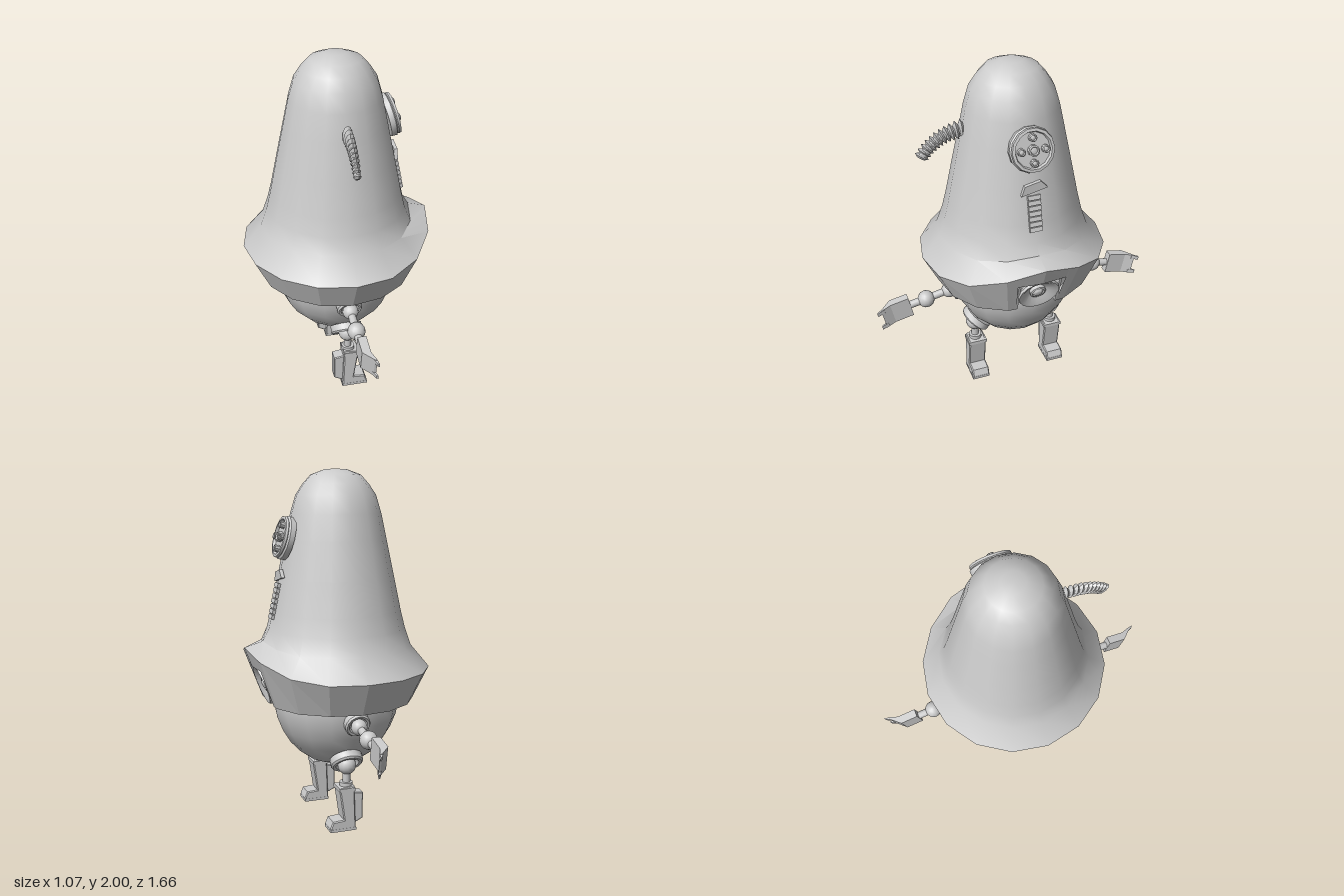
import * as THREE from 'three';
import { toCreasedNormals } from 'three/addons/utils/BufferGeometryUtils.js';

const grey = new THREE.MeshStandardMaterial({ color: 0xcccccc, side: THREE.DoubleSide });
const V = (x, y, z) => new THREE.Vector3(x, y, z);
const UP = V(0, 1, 0);

function add(parent, name, geo, pos = [0, 0, 0], axis = null) {
  const m = new THREE.Mesh(geo, grey);
  m.name = name;
  m.position.set(...pos);
  if (axis) m.quaternion.setFromUnitVectors(UP, axis.clone().normalize());
  parent.add(m);
  return m;
}

function lathe(points, sides, crease = 0.6) {
  const g = new THREE.LatheGeometry(points.map(p => new THREE.Vector2(...p)), sides);
  return toCreasedNormals(g, crease);
}

function rod(parent, name, a, b, r) {
  const d = b.clone().sub(a);
  add(parent, name, new THREE.CylinderGeometry(r, r, d.length(), 10), a.clone().add(b).multiplyScalar(0.5).toArray(), d);
}

function plate(points, depth, bevel = 0.005) {
  const shape = new THREE.Shape(points.map(p => new THREE.Vector2(...p)));
  const g = new THREE.ExtrudeGeometry(shape, { depth, bevelEnabled: bevel > 0, bevelSize: bevel, bevelThickness: bevel, bevelOffset: -bevel, bevelSegments: 1 });
  return g.translate(0, 0, -depth / 2);
}

// Brim corners: the edge rises to a peak at +x
const peak = k => Math.min(k, 16 - k);
function brimTop(k) {
  const a = k * Math.PI / 8, r = 0.535, y = [1.03, 0.98, 0.92][peak(k)] ?? 0.895;
  return V(r * Math.cos(a), y, r * Math.sin(a));
}
function brimBottom(k) {
  const a = k * Math.PI / 8, r = [0.41, 0.43][peak(k)] ?? 0.445;
  return V(r * Math.cos(a), 0.71, r * Math.sin(a));
}

// Tall dome, with its lowest rows lifted towards the peak
function domeGeometry() {
  const pts = [[0.535, 0.895], [0.43, 1.02], [0.395, 1.12], [0.37, 1.22], [0.33, 1.41], [0.285, 1.62], [0.255, 1.76],
    [0.225, 1.86], [0.185, 1.92], [0.14, 1.97], [0.06, 2], [0, 2]];
  const g = new THREE.LatheGeometry(pts.map(p => new THREE.Vector2(...p)), 16);
  const p = g.attributes.position, n = pts.length;
  for (let i = 0; i < p.count; i++) {
    const k = ((4 - Math.floor(i / n)) % 16 + 16) % 16, row = i % n;
    if (row === 0) p.setXYZ(i, ...brimTop(k).toArray());
    if (row === 1 && peak(k) < 2) p.setY(i, [1.06, 1.04][peak(k)]);
  }
  return toCreasedNormals(g, 0.6);
}

// Outer brim band and its inner lip, notched at +x for the lamp
function brimGeometry() {
  const out = [];
  const quad = (a, b, c, d) => [a, c, b, b, c, d].forEach(v => out.push(v.x, v.y, v.z));
  const strip = (t0, b0, t1, b1, lip) => {
    quad(t0, b0, t1, b1);
    if (!lip) return;
    const inner = v => V(v.x * 0.83, 0.73, v.z * 0.83);
    quad(b0, inner(b0), b1, inner(b1));
  };
  const t = 0.71;
  for (let k = 0; k < 16; k++) {
    const T0 = brimTop(k), T1 = brimTop((k + 1) % 16), B0 = brimBottom(k), B1 = brimBottom((k + 1) % 16);
    if (k !== 0 && k !== 15) { strip(T0, B0, T1, B1, true); continue; }
    const f = k === 0 ? t : 1 - t;
    const Tm = T0.clone().lerp(T1, f), Bm = B0.clone().lerp(B1, f);
    const raise = (top, bot) => bot.clone().lerp(top, (0.92 - bot.y) / (top.y - bot.y));
    if (k === 0) {
      strip(T0, raise(T0, B0), Tm, raise(Tm, Bm), false);
      strip(Tm, Bm, T1, B1, true);
    } else {
      strip(T0, B0, Tm, Bm, true);
      strip(Tm, raise(Tm, Bm), T1, raise(T1, B1), false);
    }
  }
  const g = new THREE.BufferGeometry();
  g.setAttribute('position', new THREE.Float32BufferAttribute(out, 3));
  g.computeVertexNormals();
  return g;
}

function addLamp(root) {
  const lamp = new THREE.Group();
  lamp.name = 'lamp';
  root.add(lamp);
  for (const s of [1, -1]) {
    add(lamp, 'lampSidePlate', plate([[0.33, 0.71], [0.4, 0.71], [0.465, 0.92], [0.33, 0.92]], 0.015, 0), [0, 0, s * 0.118]);
  }
  add(lamp, 'lampHousingTop', new THREE.BoxGeometry(0.14, 0.015, 0.25), [0.4, 0.92, 0]);
  const bowl = lathe([[0, -0.04], [0.08, -0.03], [0.11, 0], [0.12, 0.015], [0.115, 0.028], [0.1, 0.025], [0.045, -0.008],
    [0.045, 0.012], [0.035, 0.016], [0.03, 0.01], [0.02, 0.02], [0, 0.024]], 16);
  add(lamp, 'lampBowl', bowl, [0.415, 0.82, 0], V(0.94, -0.34, 0));
}

function addEye(root) {
  const eye = new THREE.Group();
  eye.name = 'eye';
  eye.position.set(0.302, 1.63, 0);
  eye.quaternion.setFromUnitVectors(UP, V(0.96, 0.25, 0).normalize());
  root.add(eye);
  add(eye, 'eyeRim', lathe([[0, -0.03], [0.12, -0.03], [0.123, 0], [0.112, 0.008], [0.118, 0.013], [0.115, 0.026],
    [0.1, 0.028], [0.094, 0.012], [0, 0.012]], 14));
  const lens = r => lathe([[r, 0], [r, 0.026], [r * 0.75, 0.03], [r * 0.6, 0.022], [0, 0.026]], 10);
  add(eye, 'centreLens', lens(0.03), [0, 0.01, 0]);
  for (let i = 0; i < 4; i++) {
    const a = i * Math.PI / 2;
    add(eye, 'outerLens', lens(0.021), [0.066 * Math.cos(a), 0.01, 0.066 * Math.sin(a)]);
  }
}

// Small hood and ribbed strip under the eye
function addVent(root) {
  const vent = new THREE.Group();
  vent.name = 'vent';
  root.add(vent);
  const hood = add(vent, 'ventHood', plate([[-0.075, -0.025], [0.075, -0.025], [0.045, 0.025], [-0.045, 0.025]], 0.02, 0), [0.329, 1.425, 0]);
  hood.rotation.set(0, Math.PI / 2, 0.22);
  for (let i = 0; i < 7; i++) {
    const y = 1.37 - i * 0.029;
    const rib = add(vent, 'ventRib', new THREE.BoxGeometry(0.02, 0.024, 0.07), [0.33 + (1.41 - y) * 0.21, y, 0]);
    rib.rotation.z = 0.3;
  }
}

// Curved ribbed trunk on the +z side
function addTrunk(root) {
  const trunk = new THREE.Group();
  trunk.name = 'trunk';
  root.add(trunk);
  const at = t => {
    const a = THREE.MathUtils.lerp(Math.PI / 2, 0.72, t), r = 0.315 - 0.025 * t;
    return V(0, 1.34 + r * Math.sin(a), 0.28 + r * Math.cos(a));
  };
  const path = new THREE.CatmullRomCurve3([at(-0.1), at(0.25), at(0.6), at(1)]);
  const tube = new THREE.TubeGeometry(path, 16, 0.03, 8);
  add(trunk, 'trunkCore', tube.scale(0.6, 1, 1));
  for (let i = 0; i < 11; i++) {
    const t = i / 10, r = 0.057 - 0.014 * t;
    const ring = lathe([[0, -0.013], [r * 0.55, -0.013], [r, 0], [r * 0.55, 0.013], [0, 0.013]], 10, 0.3);
    ring.scale(0.48, 1, 1);
    add(trunk, 'trunkRib', ring, at(t).toArray(), at(t + 0.02).sub(at(t - 0.02)));
  }
}

const socket = r => lathe([[r * 0.5, -0.035], [r, -0.03], [r, 0.008], [r * 0.9, 0.018], [r * 0.72, 0.016], [r * 0.6, -0.01], [0, -0.01]], 16);

function addArm(root, s) {
  const arm = new THREE.Group();
  arm.name = s > 0 ? 'leftArm' : 'rightArm';
  root.add(arm);
  add(arm, 'shoulderSocket', socket(0.072), [0, 0.638, s * 0.365], V(0, -0.36, 0.93 * s));
  add(arm, 'shoulderBall', new THREE.SphereGeometry(0.045, 14, 10), [0, 0.63, s * 0.39]);
  rod(arm, 'upperArm', V(0, 0.63, s * 0.39), V(0, 0.6, s * 0.53), 0.022);
  add(arm, 'elbowBall', new THREE.SphereGeometry(0.05, 14, 10), [0, 0.6, s * 0.53]);
  rod(arm, 'forearm', V(0, 0.6, s * 0.53), V(0, 0.58, s * 0.64), 0.022);
  // Flat hand bent towards +x, with two pointed finger tips
  const hand = new THREE.Group();
  hand.name = 'hand';
  hand.position.set(0, 0.568, s * 0.715);
  hand.rotation.x = s * 0.2;
  arm.add(hand);
  const slab = (pts, h) => plate(pts.map(([x, z]) => [x, z * s]), h, 0).rotateX(Math.PI / 2);
  add(hand, 'palm', slab([[-0.022, -0.09], [0.026, -0.09], [0.026, 0.02], [0.046, 0.078], [0.034, 0.075], [-0.022, 0.015]], 0.128));
  for (const e of [1, -1]) {
    add(hand, 'fingerTip', slab([[0.02, 0.055], [0.042, 0.06], [0.053, 0.104], [0.043, 0.1]], 0.022), [0, e * 0.05, 0]);
  }
}

function addLeg(root, s) {
  const leg = new THREE.Group();
  leg.name = s > 0 ? 'leftLeg' : 'rightLeg';
  root.add(leg);
  const z = s * 0.245;
  add(leg, 'hipSocket', socket(0.093), [0.015, 0.385, s * 0.237], V(0, -0.72, 0.7 * s));
  add(leg, 'hipBall', new THREE.SphereGeometry(0.053, 14, 10), [0.018, 0.372, z]);
  rod(leg, 'thigh', V(0.02, 0.38, z), V(0.02, 0.25, z), 0.022);
  add(leg, 'kneeCollar', new THREE.CylinderGeometry(0.038, 0.038, 0.025, 12), [0.022, 0.263, z]);
  const boot = [[-0.02, 0], [0.13, 0], [0.13, 0.025], [0.115, 0.06], [0.05, 0.065], [0.075, 0.235], [0.075, 0.252], [-0.012, 0.26], [-0.012, 0.22]];
  add(leg, 'boot', plate(boot, 0.092, 0.006), [0, 0, z]);
  add(leg, 'sole', new THREE.BoxGeometry(0.152, 0.016, 0.106), [0.055, 0.008, z]);
  add(leg, 'bootCuff', new THREE.BoxGeometry(0.09, 0.02, 0.112), [0.032, 0.242, z]);
  add(leg, 'heelBlock', plate([[-0.068, 0.06], [-0.03, 0.04], [0, 0.04], [0, 0.22], [-0.068, 0.21]], 0.06, 0.005), [0, 0, z]);
}

export function createModel() {
  const root = new THREE.Group();
  root.name = 'figure';
  add(root, 'dome', domeGeometry());
  add(root, 'brim', brimGeometry());
  add(root, 'belly', lathe([[0, 0.335], [0.1, 0.335], [0.165, 0.36], [0.22, 0.4], [0.275, 0.46], [0.32, 0.535],
    [0.35, 0.61], [0.37, 0.71], [0.36, 0.76], [0.34, 0.92]], 16, 0.8));
  addLamp(root);
  addEye(root);
  addVent(root);
  addTrunk(root);
  for (const s of [1, -1]) {
    addArm(root, s);
    addLeg(root, s);
  }
  return root;
}
